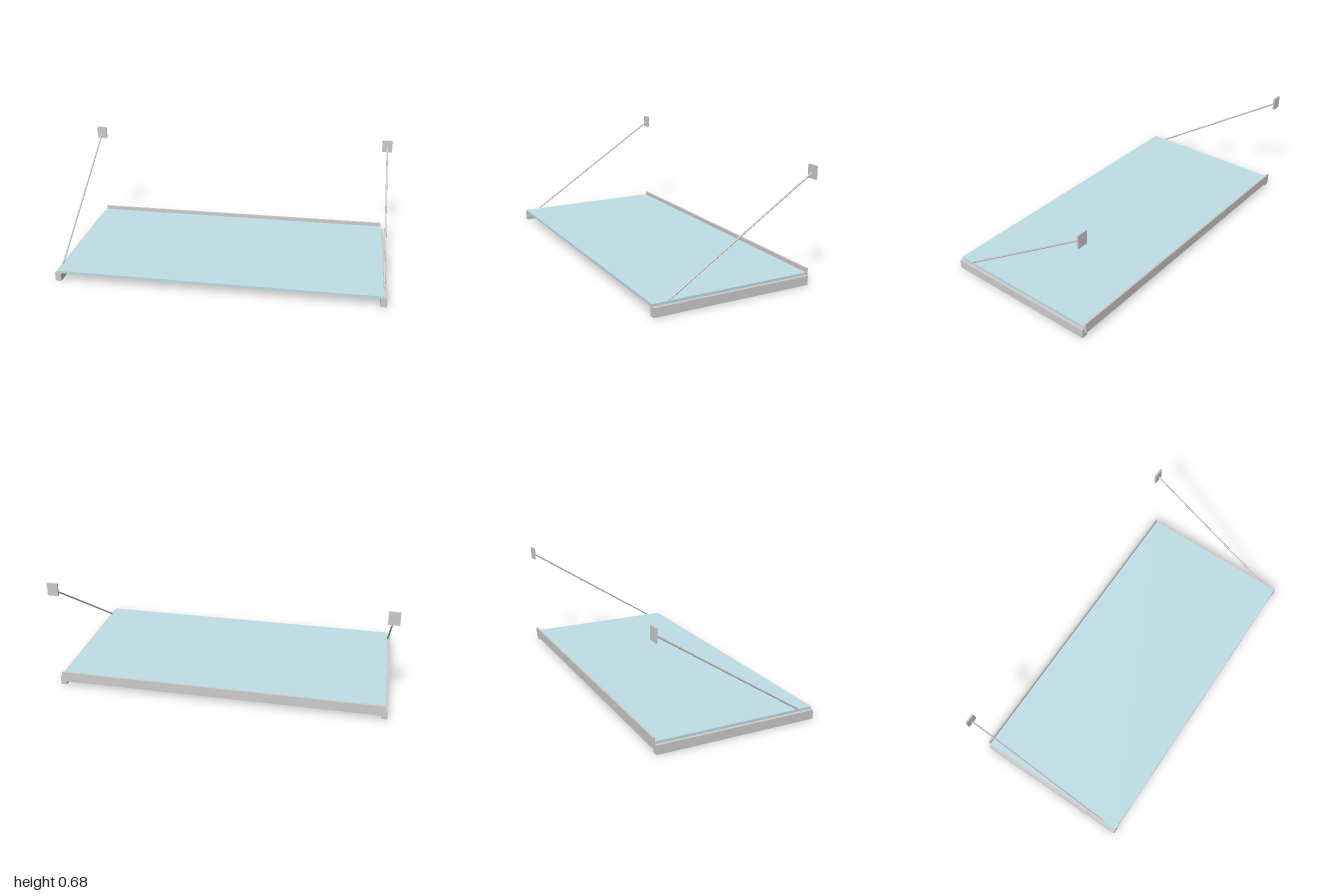
import * as THREE from 'three';

const metal = new THREE.MeshStandardMaterial({ color: 0xcccccc });
const glass = new THREE.MeshStandardMaterial({ color: 0xbfdde6 });

// Box given by its lower and upper corners
function box(name, min, max, material = metal) {
  const size = max.map((v, i) => v - min[i]);
  const mesh = new THREE.Mesh(new THREE.BoxGeometry(...size), material);
  mesh.position.set(...min.map((v, i) => (v + max[i]) / 2));
  mesh.name = name;
  return mesh;
}

// Round rod between two points
function rod(name, from, to, radius) {
  const direction = to.clone().sub(from);
  const mesh = new THREE.Mesh(new THREE.CylinderGeometry(radius, radius, direction.length(), 12), metal);
  mesh.position.copy(from).add(to).multiplyScalar(0.5);
  mesh.quaternion.setFromUnitVectors(new THREE.Vector3(0, 1, 0), direction.normalize());
  mesh.name = name;
  return mesh;
}

export function createModel() {
  const model = new THREE.Group();
  model.name = 'canopy';

  // Glass roof panel and the rail that holds it to the wall
  model.add(box('glassPanel', [-0.968, 0.053, -0.476], [0.968, 0.068, 0.49], glass));
  model.add(box('wallRail', [-0.968, 0.03, -0.488], [0.968, 0.091, -0.476]));

  // Side beam, wall plate and tie rod at each end
  for (const [side, s] of [['left', 1], ['right', -1]]) {
    const x = s * 0.968;
    model.add(box(side + 'Beam', [x - 0.018, 0, -0.476], [x + 0.018, 0.053, 0.49]));
    model.add(box(side + 'WallPlate', [x - 0.032, 0.602, -0.488], [x + 0.032, 0.678, -0.477]));
    model.add(rod(side + 'TieRod', new THREE.Vector3(x, 0.072, 0.394), new THREE.Vector3(x, 0.635, -0.479), 0.005));
  }
  return model;
}
